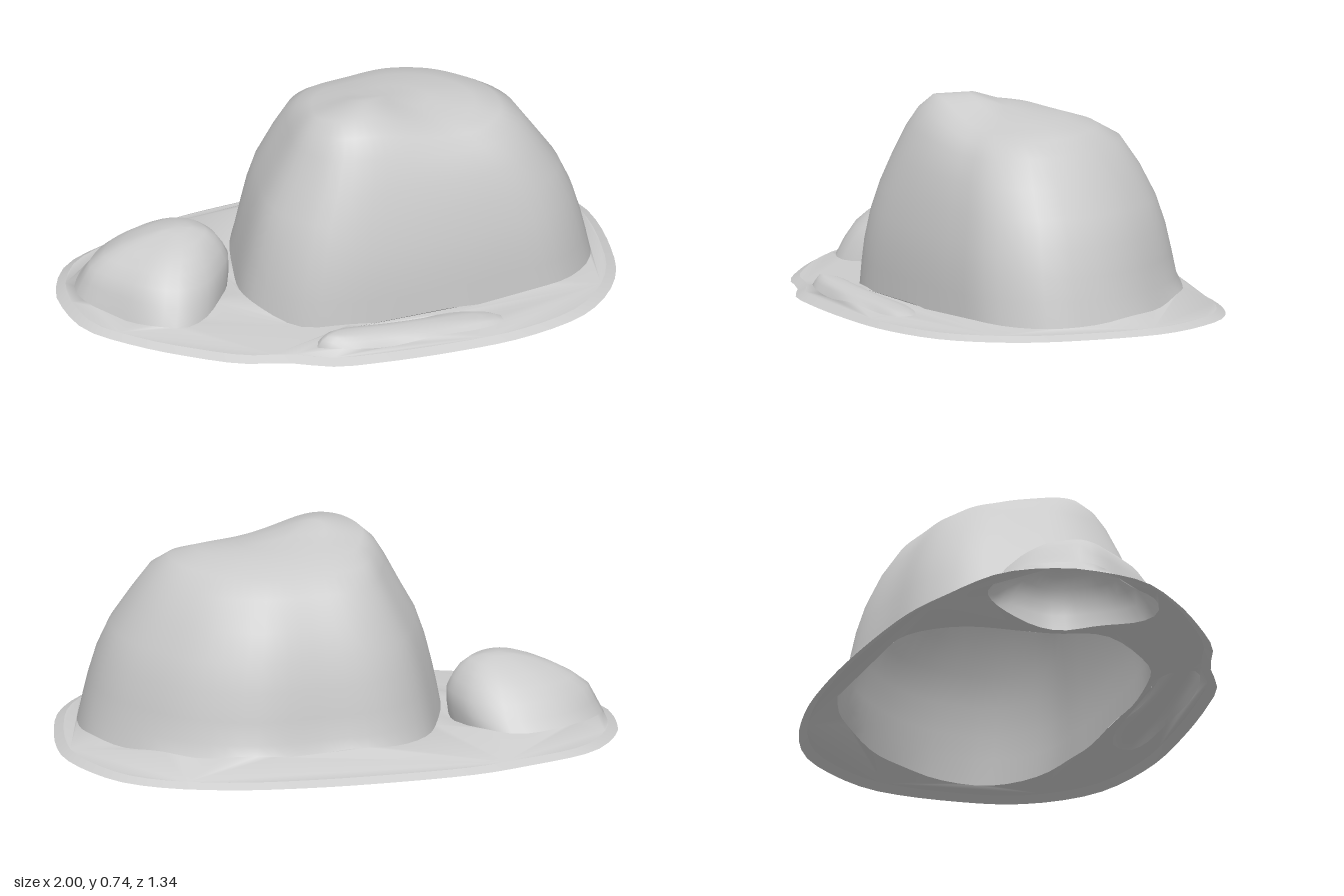
import * as THREE from 'three';

const material = new THREE.MeshStandardMaterial({ color: 0xcccccc, side: THREE.DoubleSide });

function makeMesh(name, geometry) {
  geometry.computeVertexNormals();
  const mesh = new THREE.Mesh(geometry, material);
  mesh.name = name;
  return mesh;
}

// Smooth closed outline through [x, z] points
function outline(points, count) {
  const curve = new THREE.CatmullRomCurve3(
    points.map(([x, z]) => new THREE.Vector3(x, 0, z)), true, 'centripetal');
  return curve.getSpacedPoints(count).slice(0, count);
}

// Skin over equal rings of points, with an optional closing apex
function skin(rings, apex) {
  const n = rings[0].length;
  const points = rings.flat();
  const index = [];
  for (let j = 0; j < rings.length; j++) {
    for (let i = 0; i < n; i++) {
      const a = j * n + i;
      const b = j * n + (i + 1) % n;
      if (j < rings.length - 1) index.push(a, b, a + n, b, b + n, a + n);
      else if (apex) index.push(a, b, points.length);
    }
  }
  const geometry = new THREE.BufferGeometry().setFromPoints(apex ? [...points, apex] : points);
  geometry.setIndex(index);
  return geometry;
}

const bump = (x, z, cx, cz, r) => Math.exp(-((x - cx) ** 2 + (z - cz) ** 2) / (r * r));

// Height at which the ground meets the rocks, highest at the back
const groundHeight = (x, z) => 0.035 - 0.085 * Math.min(z, 0)
  + 0.006 * Math.sin(17 * x + 9 * z) + 0.02 * bump(x, z, -0.45, 0.12, 0.15);

// Open shell rising from its footprint through layers [y, xMin, xMax, zMin, zMax]
function rockShell(name, foot, layers, sculpt) {
  const box = new THREE.Box3().setFromPoints(foot);
  const size = box.getSize(new THREE.Vector3());
  const base = foot.map((p) => new THREE.Vector3(p.x, groundHeight(p.x, p.z), p.z));
  const rings = layers.map(([y, x0, x1, z0, z1]) => foot.map((p) => sculpt(
    x0 + (p.x - box.min.x) / size.x * (x1 - x0), y,
    z0 + (p.z - box.min.z) / size.z * (z1 - z0))));
  const [y, x0, x1, z0, z1] = layers[layers.length - 1];
  return makeMesh(name, skin([base, ...rings], sculpt((x0 + x1) / 2, y + 0.004, (z0 + z1) / 2)));
}

// Ground skirt: a thin sloping rim, then a sheet open beneath each rock
function groundSkirt(edge, feet) {
  const group = new THREE.Group();
  group.name = 'ground';
  const rim = edge.map((p) => p.clone().setLength(p.length() - 0.035).setY(0.018));
  group.add(makeMesh('rim', skin([edge, rim])));

  const flat = (p) => new THREE.Vector2(p.x, -p.z);
  const shape = new THREE.Shape(rim.map(flat));
  shape.holes = feet.map((foot) => new THREE.Path(foot.map(flat)));
  const sheet = new THREE.ShapeGeometry(shape).rotateX(-Math.PI / 2);
  const pos = sheet.attributes.position;
  for (let i = 0; i < pos.count; i++) {
    pos.setY(i, i < rim.length ? 0.018 : groundHeight(pos.getX(i), pos.getZ(i)));
  }
  group.add(makeMesh('sheet', sheet));
  return group;
}

export function createModel() {
  const group = new THREE.Group();
  group.name = 'rocks';

  const bigFoot = outline([[-0.4, 0.1], [-0.37, 0.22], [-0.28, 0.35], [-0.16, 0.405], [0.1, 0.425],
    [0.5, 0.4], [0.72, 0.35], [0.87, 0.2], [0.9, 0], [0.87, -0.14], [0.8, -0.27],
    [0.66, -0.43], [0.53, -0.51], [0.35, -0.56], [0.1, -0.53], [-0.14, -0.48], [-0.28, -0.35],
    [-0.36, -0.12]], 64);
  const smallFoot = outline([[-0.95, -0.12], [-0.87, 0.05], [-0.78, 0.18], [-0.68, 0.23],
    [-0.58, 0.19], [-0.48, 0.08], [-0.41, -0.05], [-0.43, -0.2], [-0.49, -0.32],
    [-0.6, -0.38], [-0.8, -0.33], [-0.91, -0.22]], 36);
  const ridgeFoot = outline([[-0.28, 0.53], [-0.2, 0.58], [-0.05, 0.6], [0.2, 0.6],
    [0.42, 0.55], [0.38, 0.475], [0, 0.455], [-0.22, 0.45]], 32);
  const edge = outline([[-1, -0.13], [-0.98, 0.06], [-0.85, 0.24], [-0.7, 0.38], [-0.55, 0.49],
    [-0.4, 0.54], [-0.25, 0.625], [-0.1, 0.65], [0.18, 0.665], [0.45, 0.65], [0.7, 0.57],
    [0.83, 0.46], [0.93, 0.3], [0.98, 0.1], [1, -0.1], [0.99, -0.22], [0.93, -0.37],
    [0.83, -0.51], [0.68, -0.6], [0.45, -0.66], [0.25, -0.675], [0, -0.67], [-0.42, -0.62],
    [-0.6, -0.56], [-0.87, -0.43], [-0.98, -0.25]], 72);

  // Large domed rock with a raised front left shoulder and a scooped front right one
  group.add(rockShell('largeRock', bigFoot, [
    [0.12, -0.387, 0.88, -0.54, 0.42],
    [0.2, -0.37, 0.86, -0.525, 0.415], [0.3, -0.345, 0.83, -0.505, 0.4],
    [0.4, -0.31, 0.785, -0.475, 0.375], [0.5, -0.255, 0.715, -0.43, 0.345],
    [0.6, -0.2, 0.645, -0.365, 0.3], [0.65, -0.165, 0.575, -0.28, 0.255],
    [0.68, -0.12, 0.48, -0.18, 0.2], [0.69, 0.02, 0.32, -0.08, 0.1],
  ], (x, y, z) => {
    const top = THREE.MathUtils.smoothstep(y, 0.45, 0.68);
    return new THREE.Vector3(x, y + top * (0.06 * bump(x, z, 0.02, 0.14, 0.16)
      - 0.03 * bump(x, z, 0.4, 0.24, 0.2)), z);
  }));

  // Small rock beside it
  group.add(rockShell('smallRock', smallFoot, [
    [0.1, -0.925, -0.4, -0.355, 0.2],
    [0.15, -0.9, -0.4, -0.32, 0.165], [0.19, -0.85, -0.42, -0.28, 0.125],
    [0.225, -0.785, -0.445, -0.235, 0.08], [0.25, -0.71, -0.48, -0.18, 0.03],
    [0.263, -0.64, -0.53, -0.12, -0.04],
  ], (x, y, z) => new THREE.Vector3(x, y + 0.004 * Math.sin(14 * x) * Math.sin(12 * z), z)));

  // Low ridge of earth at the front, tapering to one side
  group.add(rockShell('frontRidge', ridgeFoot, [
    [0.06, -0.265, 0.39, 0.465, 0.59], [0.075, -0.245, 0.34, 0.485, 0.575],
    [0.082, -0.22, 0.25, 0.505, 0.555],
  ], (x, y, z) => new THREE.Vector3(x,
    0.035 + (y - 0.035) * THREE.MathUtils.mapLinear(x, -0.28, 0.45, 1, 0.25), z)));

  group.add(groundSkirt(edge, [bigFoot, smallFoot, ridgeFoot]));
  return group;
}
